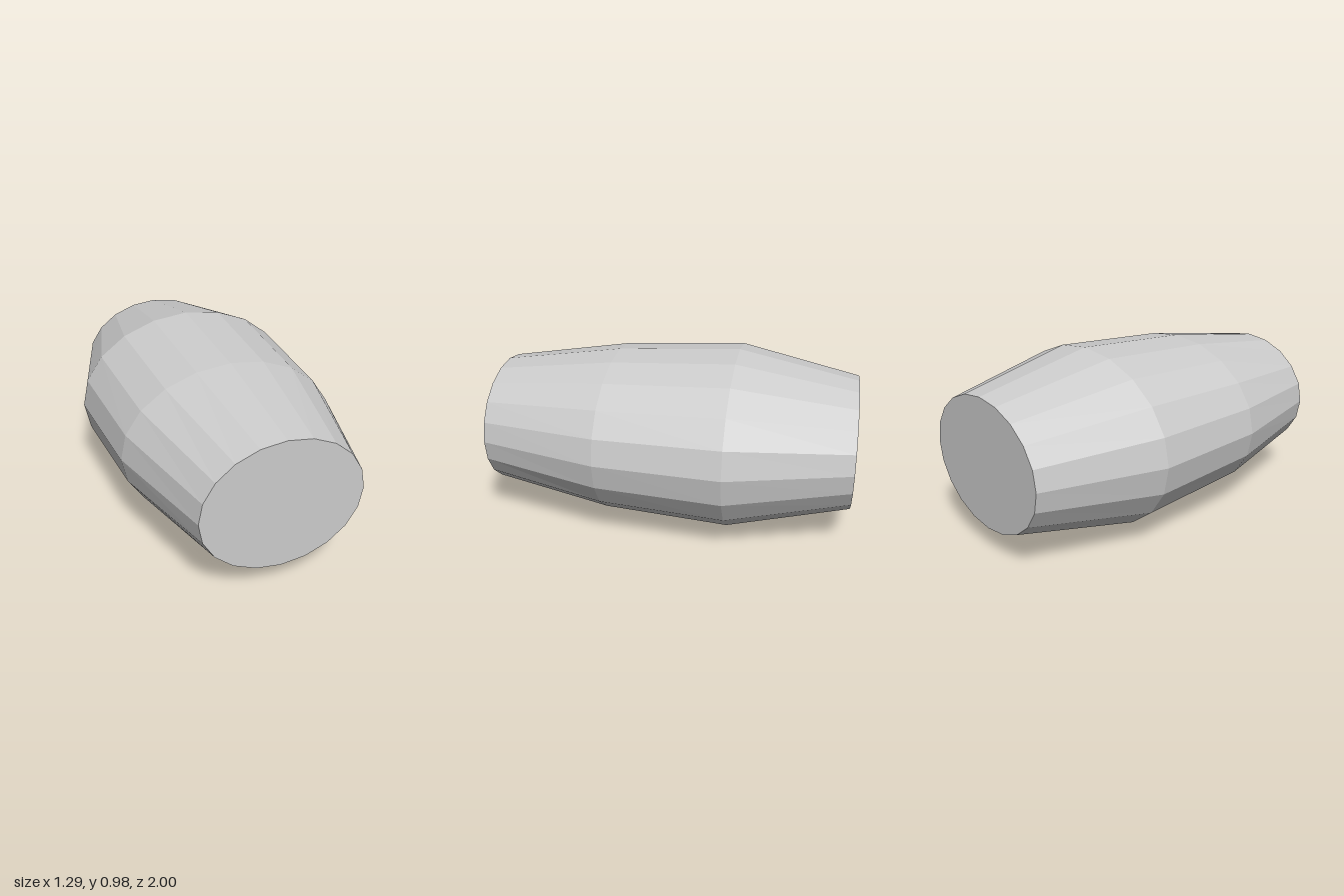
import * as THREE from 'three';

// Elliptical cross-sections from front to back
const sections = [
  { z: 1, rx: 0.431, ry: 0.352 },
  { z: 0.33, rx: 0.606, ry: 0.45 },
  { z: -0.35, rx: 0.645, ry: 0.489 },
  { z: -1, rx: 0.452, ry: 0.352 },
];
const centreY = 0.491;

export function createModel() {
  const group = new THREE.Group();
  group.name = 'barrel';

  // Capped 20-sided cylinder lying along z, each ring fitted to its section
  const geometry = new THREE.CylinderGeometry(1, 1, 2, 20, sections.length - 1);
  geometry.rotateX(Math.PI / 2);
  const pos = geometry.attributes.position;
  for (let i = 0; i < pos.count; i++) {
    const row = Math.round(((1 - pos.getZ(i)) / 2) * (sections.length - 1));
    const { z, rx, ry } = sections[row];
    pos.setXYZ(i, pos.getX(i) * rx, centreY + pos.getY(i) * ry, z);
  }
  geometry.computeVertexNormals();

  const material = new THREE.MeshStandardMaterial({ color: 0xcccccc, flatShading: true });
  const body = new THREE.Mesh(geometry, material);
  body.name = 'barrelBody';
  group.add(body);
  return group;
}
